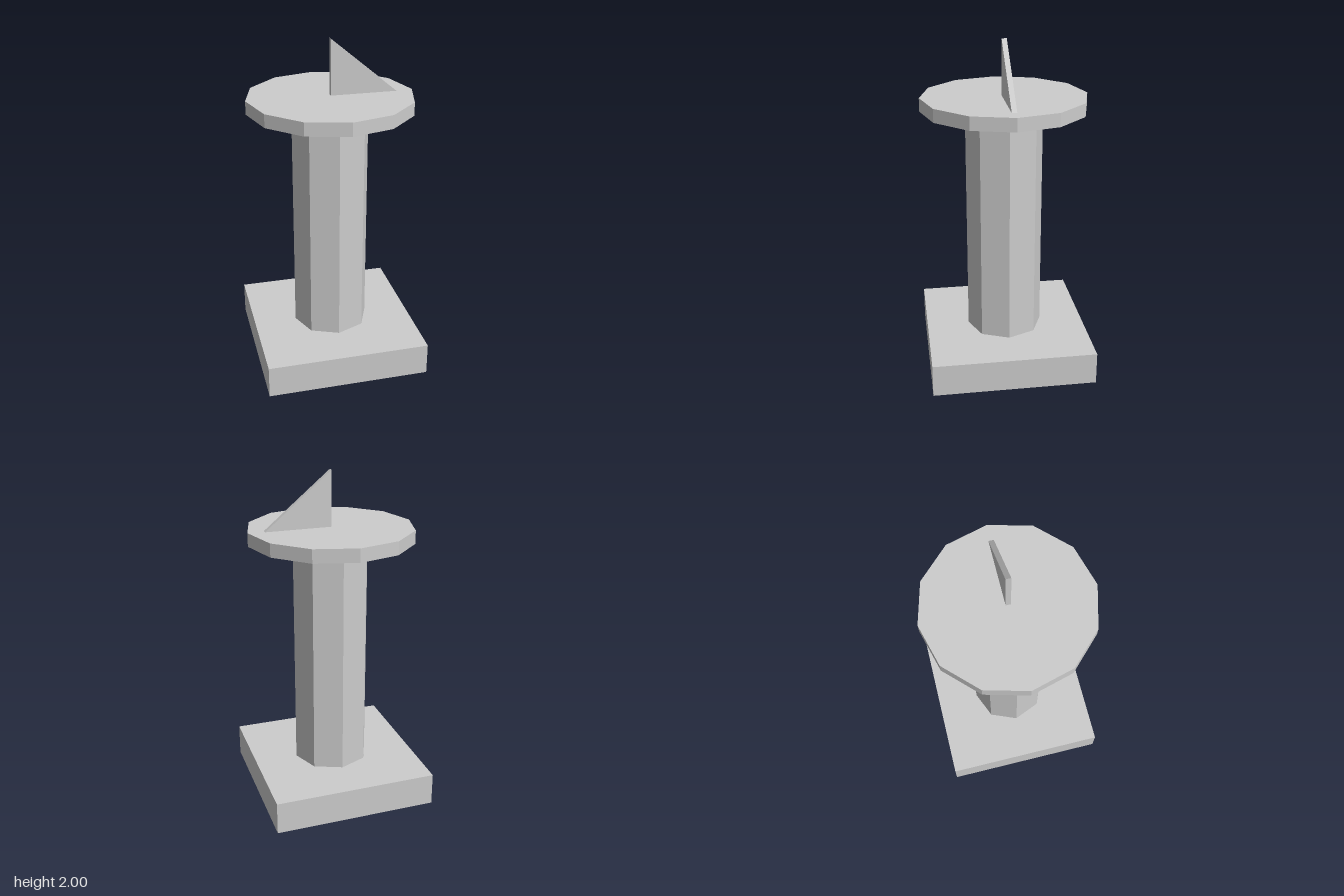
import * as THREE from 'three';

export function createModel() {
  const group = new THREE.Group();
  const stone = new THREE.MeshStandardMaterial({ color: 0xcccccc, flatShading: true });
  stone.name = 'stone grey';

  function add(name, geometry, y) {
    const mesh = new THREE.Mesh(geometry, stone);
    mesh.name = name;
    mesh.position.y = y;
    group.add(mesh);
  }

  // Heights of the stacked parts
  const baseTop = 0.197, columnTop = 1.594, dialTop = 1.673;

  // Square plinth
  add('base', new THREE.BoxGeometry(0.983, baseTop, 0.983), baseTop / 2);

  // Octagonal pedestal
  add('column', new THREE.CylinderGeometry(0.23, 0.23, columnTop - baseTop, 8), (baseTop + columnTop) / 2);

  // Twelve-sided dial plate
  add('dial', new THREE.CylinderGeometry(0.4915, 0.4915, dialTop - columnTop, 12), (columnTop + dialTop) / 2);

  // Thin triangular gnomon, upright edge at the dial's centre
  const depth = 0.03;
  const fin = new THREE.Shape([
    new THREE.Vector2(0, 0),
    new THREE.Vector2(0.393, 0),
    new THREE.Vector2(0, 2 - dialTop),
  ]);
  const gnomon = new THREE.ExtrudeGeometry(fin, { depth, bevelEnabled: false });
  gnomon.translate(0, 0, -depth / 2);
  add('gnomon', gnomon, dialTop);

  return group;
}
